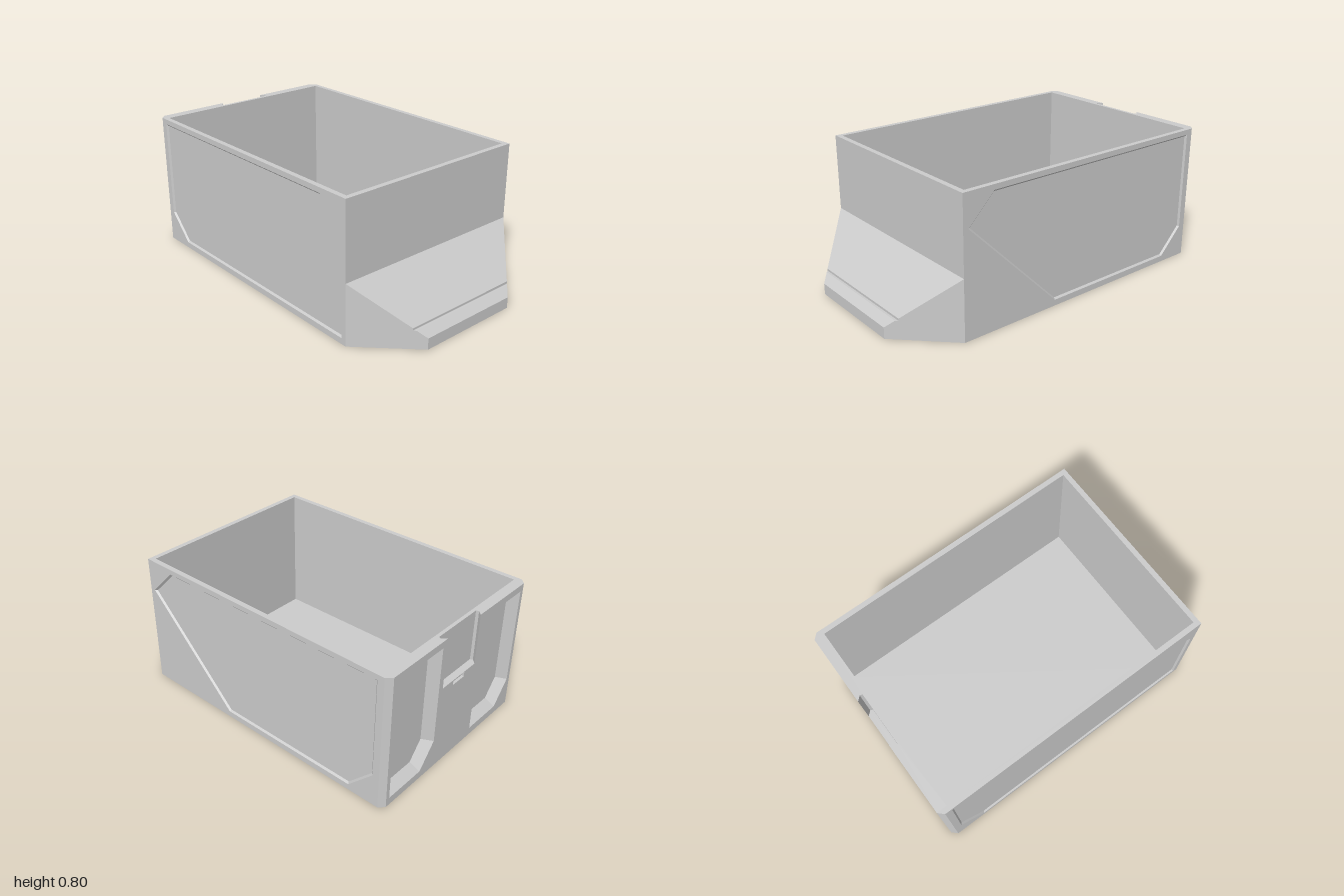
import * as THREE from 'three';

const material = new THREE.MeshStandardMaterial({ color: 0xcccccc, flatShading: true, side: THREE.DoubleSide });
const V = (x, y, z) => new THREE.Vector3(x, y, z);

// Each face of the box has a frame: u to the right, v up, w outwards
const frame = (u, v, origin) =>
  new THREE.Matrix4().makeBasis(u, v, u.clone().cross(v)).setPosition(origin);
const LEFT = frame(V(0, 0, -1), V(0, 1, 0), V(0.6, 0, 0));
const RIGHT = frame(V(0, 0, 1), V(0, 1, 0), V(-0.6, 0, 0));
const BACK = frame(V(-1, 0, 0), V(0, 1, 0), V(0, 0, -1));
const FRONT = frame(V(1, 0, 0), V(0, 1, 0), V(0, 0, 0.71));
const TOP = frame(V(1, 0, 0), V(0, 0, -1), V(0, 0.8, 0));
const BOTTOM = frame(V(1, 0, 0), V(0, 0, 1), V(0, 0, 0));

const toVec2 = (pts) => pts.map(([u, v]) => new THREE.Vector2(u, v));
const place = (pts, w, m) => pts.map(([u, v]) => V(u, v, w).applyMatrix4(m));
const rect = (u0, v0, u1, v1) => [[u0, v0], [u1, v0], [u1, v1], [u0, v1]];

function add(parent, name, geometry) {
  const mesh = new THREE.Mesh(geometry, material);
  mesh.name = name;
  parent.add(mesh);
}

// Flat plate with holes, at height w in a frame
function plate(outline, holes, m, w = 0) {
  const shape = new THREE.Shape(toVec2(outline));
  for (const h of holes) shape.holes.push(new THREE.Path(toVec2(h)));
  return new THREE.ShapeGeometry(shape).translate(0, 0, w).applyMatrix4(m);
}

function fromTriangles(points) {
  const g = new THREE.BufferGeometry().setFromPoints(points);
  g.computeVertexNormals();
  return g;
}

// Strip of quads between two rows of points
function band(a, b, closed = true) {
  const pts = [];
  for (let i = 0; i < a.length - (closed ? 0 : 1); i++) {
    const j = (i + 1) % a.length;
    pts.push(a[i], a[j], b[j], a[i], b[j], b[i]);
  }
  return fromTriangles(pts);
}

// Flat convex polygon
function fan(p) {
  const pts = [];
  for (let i = 1; i < p.length - 1; i++) pts.push(p[0], p[i], p[i + 1]);
  return fromTriangles(pts);
}

// Shrinks a counter-clockwise polygon by d
function inset(pts, d) {
  const p = toVec2(pts), n = p.length;
  const normal = (a, b) => new THREE.Vector2(a.y - b.y, b.x - a.x).normalize();
  return p.map((q, i) => {
    const n1 = normal(p[(i + n - 1) % n], q), n2 = normal(q, p[(i + 1) % n]);
    const k = d / (1 + n1.dot(n2));
    return [q.x + (n1.x + n2.x) * k, q.y + (n1.y + n2.y) * k];
  });
}

// Sunken area with sloped walls
function recess(parent, name, outline, slope, depth, m) {
  const group = new THREE.Group();
  group.name = name;
  const inner = inset(outline, slope);
  add(group, name + 'Walls', band(place(outline, 0, m), place(inner, -depth, m)));
  add(group, name + 'Floor', plate(inner, [], m, -depth));
  parent.add(group);
}

export function createModel() {
  const model = new THREE.Group();
  model.name = 'storageBin';

  // Side walls with shallow sunken panels
  const leftPanel = [[0.93, 0.77], [-0.52, 0.77], [-0.68, 0.61], [-0.1, 0.035], [0.78, 0.035], [0.93, 0.19]];
  const rightPanel = [[0.52, 0.77], [-0.93, 0.77], [-0.93, 0.19], [-0.78, 0.035], [0.68, 0.035], [0.68, 0.61]];
  add(model, 'leftWall', plate(rect(-0.71, 0, 0.97, 0.8), [leftPanel], LEFT));
  add(model, 'rightWall', plate(rect(-0.97, 0, 0.71, 0.8), [rightPanel], RIGHT));
  recess(model, 'leftPanel', leftPanel, 0.01, 0.01, LEFT);
  recess(model, 'rightPanel', rightPanel, 0.01, 0.01, RIGHT);

  // Chamfered back corners
  add(model, 'leftBackCorner', band([V(0.57, 0, -1), V(0.57, 0.8, -1)], [V(0.6, 0, -0.97), V(0.6, 0.8, -0.97)], false));
  add(model, 'rightBackCorner', band([V(-0.6, 0, -0.97), V(-0.6, 0.8, -0.97)], [V(-0.57, 0, -1), V(-0.57, 0.8, -1)], false));

  // Back wall with two pockets and a slot open at the top
  const pocket = (u) => [
    [u - 0.183, 0.045], [u + 0.073, 0.045], [u + 0.183, 0.18],
    [u + 0.183, 0.76], [u - 0.053, 0.76], [u - 0.183, 0.63],
  ];
  const pockets = [pocket(-0.362), pocket(0.362)];
  const backOutline = [
    [-0.57, 0], [0.57, 0], [0.57, 0.8], [0.145, 0.8], [0.145, 0.5], [0.05, 0.5], [0.05, 0.47],
    [-0.05, 0.47], [-0.05, 0.5], [-0.145, 0.5], [-0.145, 0.8], [-0.57, 0.8],
  ];
  add(model, 'backWall', plate(backOutline, pockets, BACK));
  for (const p of pockets) recess(model, 'backPocket', p, 0.05, 0.05, BACK);

  // Dovetail slot and the catch notch below it
  const slot = [[0.145, 1], [0.168, 0.975], [0.163, 0.96], [-0.163, 0.96], [-0.168, 0.975], [-0.145, 1]];
  add(model, 'slotWalls', band(place(slot, -0.3, TOP), place(slot, 0, TOP), false));
  add(model, 'slotBase', plate(slot, [], TOP, -0.3));
  recess(model, 'catchNotch', rect(-0.05, 0.47, 0.05, 0.5), 0, 0.015, BACK);

  // Rim and hollow interior
  const opening = rect(-0.57, -0.68, 0.57, 0.94);
  const rim = [[-0.6, -0.71], [0.6, -0.71], [0.6, 0.97], [0.57, 1], ...slot, [-0.57, 1], [-0.6, 0.97]];
  add(model, 'rim', plate(rim, [opening], TOP));
  recess(model, 'interior', opening, 0, 0.77, TOP);
  add(model, 'frontWall', plate(rect(-0.6, 0.355, 0.6, 0.8), [], FRONT));

  // Tapered nose: profile of [z, y], narrowing towards the front
  const profile = [[0.71, 0.355], [0.945, 0.12], [0.945, 0.107], [0.958, 0.107], [1, 0.065], [1, 0]];
  const edge = (s) => profile.map(([z, y]) => V(s * (1.31 - z), y, z));
  add(model, 'noseSlope', band(edge(-1), edge(1), false));
  add(model, 'noseLeftSide', fan([V(0.6, 0, 0.71), ...edge(1).reverse()]));
  add(model, 'noseRightSide', fan([V(-0.6, 0, 0.71), ...edge(-1)]));

  // Underside with the finger hollow inside the nose
  const hollow = [[-0.49, 0.73], [0.49, 0.73], [0.26, 0.96], [-0.26, 0.96]];
  const base = [[-0.57, -1], [0.57, -1], [0.6, -0.97], [0.6, 0.71], [0.31, 1], [-0.31, 1], [-0.6, 0.71], [-0.6, -0.97]];
  const roof = hollow.map(([x, z]) => V(x, 1.02 - z, z));
  add(model, 'underside', plate(base, [hollow], BOTTOM));
  add(model, 'fingerHollowWalls', band(place(hollow, 0, BOTTOM), roof));
  add(model, 'fingerHollowRoof', fan(roof));

  return model;
}
